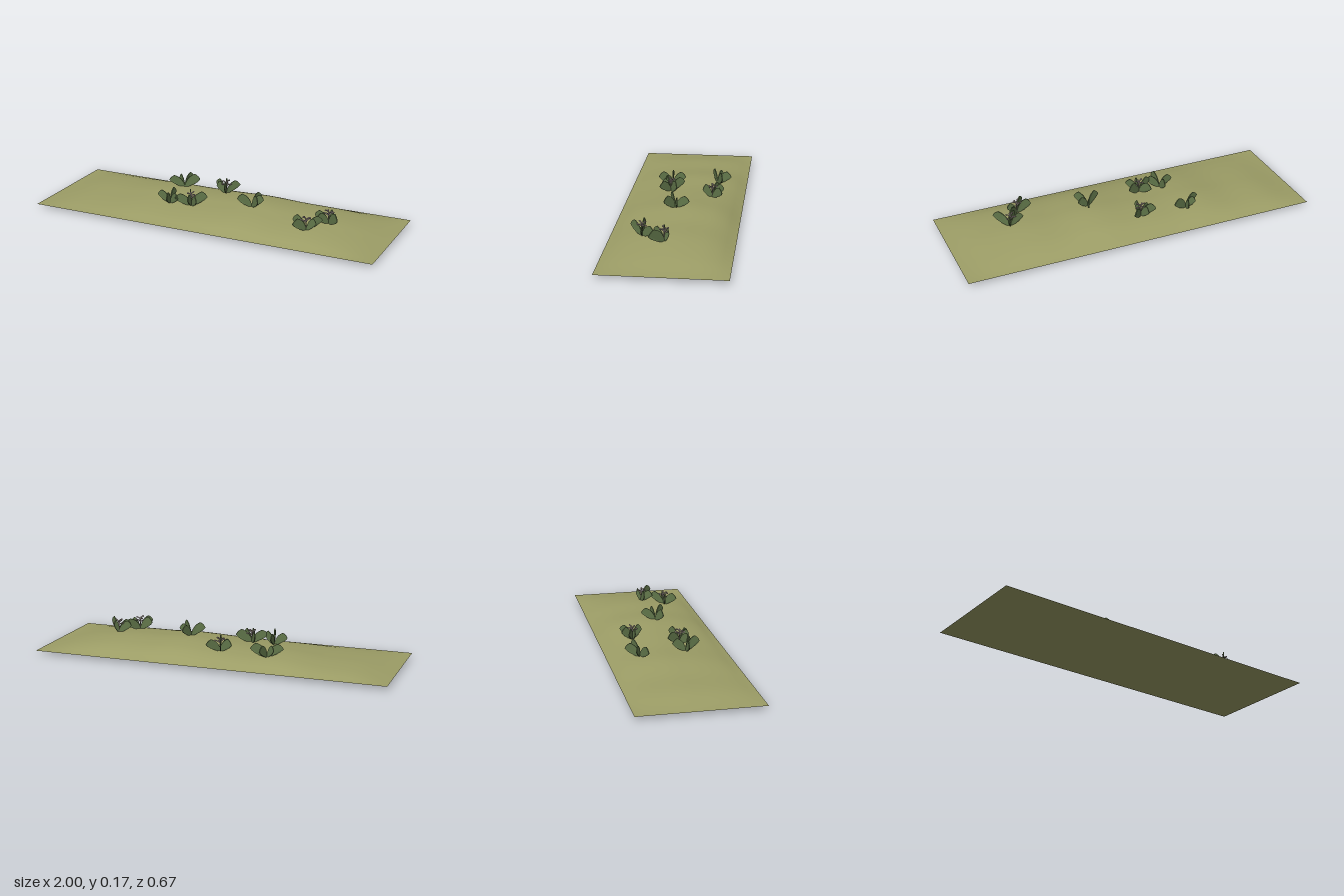
import * as THREE from 'three';

const HALF_Z = 0.333, RIM = 0.02;

// Height of the mound: a ridge profile along x times a cross profile along z
const spline = (values) => new THREE.SplineCurve(values.map((v, i) => new THREE.Vector2(i, v)));
const ridge = spline([0, 0.028, 0.036, 0.056, 0.056, 0.066, 0.078, 0.065, 0.06, 0.036, 0]);
const cross = spline([0, 0.45, 0.75, 0.9, 0.99, 1, 0.92, 0.82, 0.66, 0.4, 0]);
const clamp01 = (v) => THREE.MathUtils.clamp(v, 0, 1);
function groundHeight(x, z) {
  const v = z / HALF_Z;
  const skew = 0.12 * clamp01(0.5 - x) * (1 - v * v); // ridge drifts back on one side
  return RIM + ridge.getPoint(clamp01((x + 1) / 2)).y * cross.getPoint(clamp01((v + skew + 1) / 2)).y;
}

// Fan-shaped leaf standing in a vertical plane, growing along +x
function leafGeometry() {
  const s = new THREE.Shape();
  s.moveTo(-0.003, -0.008);
  s.bezierCurveTo(0.004, 0.03, 0.02, 0.065, 0.056, 0.076);
  s.quadraticCurveTo(0.078, 0.064, 0.085, 0.044);
  s.bezierCurveTo(0.066, 0.016, 0.03, 0.004, 0.004, -0.008);
  const g = new THREE.ExtrudeGeometry(s, { depth: 0.005, bevelEnabled: false, curveSegments: 8 });
  const p = g.attributes.position;
  for (let i = 0; i < p.count; i++) p.setZ(i, p.getZ(i) - 0.0025 + 1.2 * p.getX(i) ** 2);
  g.computeVertexNormals();
  return g;
}

// x, z, flowering, then the leaf tips as offsets from the centre
const plants = [
  { x: -0.31, z: -0.17, flower: false, tips: [[-0.08, 0.04], [0.01, -0.08], [0.08, -0.04], [-0.05, -0.02]] },
  { x: -0.04, z: -0.16, flower: true, tips: [[0.055, -0.065], [-0.08, -0.025], [0.02, 0.05], [-0.055, 0.015], [-0.03, -0.06]] },
  { x: -0.27, z: 0.09, flower: false, tips: [[-0.075, 0.01], [-0.01, -0.075], [0.025, 0.075], [0.07, 0.03]] },
  { x: -0.14, z: 0.085, flower: true, tips: [[-0.08, 0.045], [-0.05, -0.07], [0.075, -0.05], [0.065, 0.05], [0.01, 0.05]] },
  { x: 0.2, z: 0.02, flower: false, tips: [[0.015, -0.08], [-0.07, 0.04], [0.065, 0.05], [0.06, -0.025]] },
  { x: 0.65, z: 0.025, flower: true, tips: [[-0.075, 0.015], [0.01, -0.03], [0.08, 0.065], [-0.04, 0.065]] },
  { x: 0.57, z: 0.15, flower: true, tips: [[0.06, -0.075], [-0.045, 0.07], [-0.08, 0.0], [0.055, -0.01]] },
];

export function createModel() {
  const model = new THREE.Group();
  const mat = (name, color, side = THREE.FrontSide) => new THREE.MeshStandardMaterial({ name, color, side });
  const grass = mat('grass', 0x9c9d66);
  const leafGreen = mat('leaf green', 0x62774b, THREE.DoubleSide);
  const stemGreen = mat('stem grey', 0x6f6a5c);
  const petal = mat('petal', 0xb5a6a0);

  function add(parent, name, geometry, material) {
    const mesh = new THREE.Mesh(geometry, material);
    mesh.name = name;
    parent.add(mesh);
    return mesh;
  }

  // Rolling top of the ground
  const top = new THREE.PlaneGeometry(2, HALF_Z * 2, 60, 28).rotateX(-Math.PI / 2);
  const p = top.attributes.position;
  for (let i = 0; i < p.count; i++) p.setY(i, groundHeight(p.getX(i), p.getZ(i)));
  top.computeVertexNormals();
  add(model, 'groundTop', top, grass);

  // Shallow four-sided underside that meets in a point
  const under = new THREE.ConeGeometry(Math.SQRT2, RIM, 4, 1, true)
    .rotateY(Math.PI / 4).rotateX(Math.PI).scale(1, 1, HALF_Z)
    .translate(0, RIM / 2, 0).toNonIndexed();
  under.computeVertexNormals();
  add(model, 'groundUnderside', under, grass);

  const leaf = leafGeometry();
  plants.forEach(({ x, z, flower, tips }) => {
    const plant = new THREE.Group();
    plant.name = flower ? 'floweringPlant' : 'leafyPlant';
    plant.position.set(x, groundHeight(x, z), z);
    model.add(plant);

    tips.forEach(([dx, dz], i) => {
      const length = Math.hypot(dx, dz) / 0.085;
      const m = add(plant, 'leaf', leaf, leafGreen);
      m.rotation.y = Math.atan2(-dz, dx);
      m.scale.set(length, 0.88 + 0.06 * (i % 3), 1);
    });

    if (!flower) return;
    // Stem carrying a small spray of curved buds
    add(plant, 'stem', new THREE.CylinderGeometry(0.0025, 0.0035, 0.06, 6).translate(0, 0.026, 0), stemGreen);
    for (let i = 0; i < 6; i++) {
      const a = i * 2.4 + x * 5, y = 0.04 + i * 0.004, r = 0.028 - i * 0.002;
      const c = Math.cos(a), s = Math.sin(a);
      const path = new THREE.QuadraticBezierCurve3(
        new THREE.Vector3(0, y, 0),
        new THREE.Vector3(c * r * 0.5, y + 0.014, s * r * 0.5),
        new THREE.Vector3(c * r, y + 0.013, s * r));
      add(plant, 'bud', new THREE.TubeGeometry(path, 5, 0.0032, 6), petal);
      add(plant, 'budTip', new THREE.SphereGeometry(0.0048, 8, 6).translate(c * r, y + 0.013, s * r), petal);
    }
  });

  return model;
}
